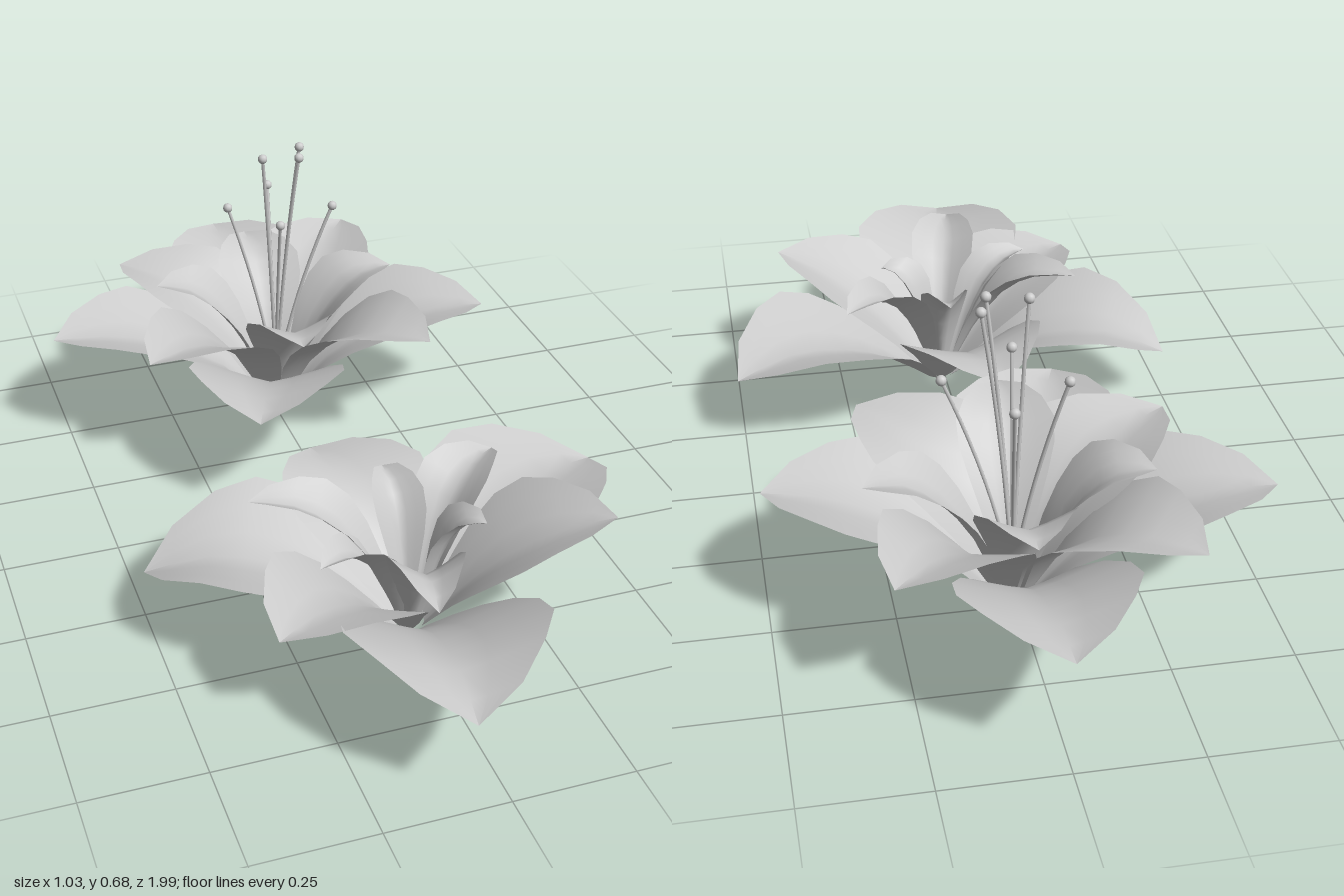
import * as THREE from 'three';

const petalMat = new THREE.MeshStandardMaterial({ color: 0xcccccc, side: THREE.DoubleSide });
const stamenMat = new THREE.MeshStandardMaterial({ color: 0xcccccc });

// Relative half-width along a petal, base to tip
const OUTLINE = [0.14, 0.35, 0.58, 0.8, 0.97, 1, 0.8, 0.47, 0];
const ACROSS = 6;

// Cupped petal: a keel curve (radius, height) swept with a shallow V section
function petal(name, keel, width, lift, [tx, tz, tipY]) {
  const length = Math.hypot(tx, tz), dx = tx / length, dz = tz / length;
  const [endR, endY] = keel[keel.length - 1];
  const curve = new THREE.SplineCurve(keel.map(([r, y]) => {
    const k = r / endR;
    return new THREE.Vector2(r * length / endR, y + (tipY - endY) * k * k);
  }));
  const pos = [], index = [], rows = OUTLINE.length - 1, n = ACROSS + 1;
  OUTLINE.forEach((f, i) => {
    const p = curve.getPoint(i / rows), t = curve.getTangent(i / rows);
    for (let j = 0; j < n; j++) {
      const v = (2 * j) / ACROSS - 1;
      const up = lift * f * Math.pow(Math.abs(v), 1.2);
      const r = p.x - t.y * up, y = p.y + t.x * up, s = v * f * width;
      pos.push(dx * r - dz * s, y, dz * r + dx * s);
    }
  });
  for (let i = 0; i < rows; i++) {
    for (let j = 0; j < ACROSS; j++) {
      const a = i * n + j, b = a + 1, c = a + n, d = c + 1;
      index.push(a, b, c);
      if (i < rows - 1) index.push(b, d, c);
    }
  }
  const geo = new THREE.BufferGeometry();
  geo.setAttribute('position', new THREE.Float32BufferAttribute(pos, 3));
  geo.setIndex(index);
  geo.computeVertexNormals();
  const mesh = new THREE.Mesh(geo, petalMat);
  mesh.name = name;
  return mesh;
}

// Flower: whorls of petals, each petal given by its tip (x, z, height)
function flower(name, x, z, whorls) {
  const group = new THREE.Group();
  group.name = name;
  group.position.set(x, 0, z);
  for (const { name: part, keel, width, lift, tips } of whorls) {
    const whorl = new THREE.Group();
    whorl.name = part + 's';
    tips.forEach((tip) => whorl.add(petal(part, keel, width, lift, tip)));
    group.add(whorl);
  }
  return group;
}

// Thin filament bending outward, with a round anther on top
function stamen(x, y, z) {
  const group = new THREE.Group();
  group.name = 'stamen';
  const path = new THREE.QuadraticBezierCurve3(
    new THREE.Vector3(0, 0.06, 0),
    new THREE.Vector3(x * 0.28, y * 0.55, z * 0.28),
    new THREE.Vector3(x, y, z));
  const filament = new THREE.Mesh(new THREE.TubeGeometry(path, 10, 0.004, 6), stamenMat);
  filament.name = 'filament';
  const anther = new THREE.Mesh(new THREE.SphereGeometry(0.011, 10, 8), stamenMat);
  anther.name = 'anther';
  anther.position.set(x, y, z);
  group.add(filament, anther);
  return group;
}

export function createModel() {
  const model = new THREE.Group();
  model.name = 'flowers';

  // Rear flower: three whorls of four petals
  const rear = flower('rearFlower', 0.01, -0.48, [
    {
      name: 'outerPetal', width: 0.175, lift: 0.05,
      keel: [[0.03, 0.01], [0.13, 0.13], [0.27, 0.21], [0.4, 0.245], [0.52, 0.25]],
      tips: [[-0.01, -0.52, 0.255], [0.49, 0.11, 0.25], [-0.18, 0.48, 0.255], [-0.53, -0.04, 0.25]],
    },
    {
      name: 'middlePetal', width: 0.15, lift: 0.045,
      keel: [[0.03, 0.02], [0.1, 0.15], [0.2, 0.245], [0.31, 0.29], [0.43, 0.3]],
      tips: [[0.28, -0.33, 0.31], [-0.31, -0.3, 0.29], [-0.36, 0.22, 0.295], [0.27, 0.33, 0.3]],
    },
    {
      name: 'innerPetal', width: 0.1, lift: 0.035,
      keel: [[0.025, 0.03], [0.08, 0.17], [0.15, 0.27], [0.22, 0.325], [0.3, 0.335]],
      tips: [[0.01, -0.29, 0.335], [0.3, -0.02, 0.325], [-0.03, 0.32, 0.335], [-0.27, -0.07, 0.335]],
    },
  ]);

  // Tall and short stamens
  const stamens = new THREE.Group();
  stamens.name = 'stamens';
  [
    [-0.035, 0.675, 0.04], [0.045, 0.675, 0.06], [0.065, 0.675, 0],
    [-0.1, 0.53, -0.035], [-0.015, 0.535, 0.105], [0.025, 0.53, -0.13], [0.138, 0.525, 0.02],
  ].forEach((tip) => stamens.add(stamen(...tip)));
  rear.add(stamens);

  // Front flower: whorls of three petals around smaller inner ones
  const front = flower('frontFlower', 0.01, 0.45, [
    {
      name: 'outerPetal', width: 0.2, lift: 0.065,
      keel: [[0.03, 0.005], [0.15, 0.1], [0.27, 0.165], [0.41, 0.205], [0.55, 0.195]],
      tips: [[-0.51, -0.19, 0.12], [0.5, -0.23, 0.165], [-0.08, 0.54, 0.195]],
    },
    {
      name: 'middlePetal', width: 0.165, lift: 0.05,
      keel: [[0.03, 0.01], [0.11, 0.1], [0.2, 0.17], [0.31, 0.21], [0.42, 0.21]],
      tips: [[-0.08, -0.41, 0.2], [0.37, 0.16, 0.29], [-0.35, 0.23, 0.215]],
    },
    {
      name: 'innerPetal', width: 0.075, lift: 0.04,
      keel: [[0.025, 0.02], [0.08, 0.14], [0.15, 0.24], [0.23, 0.285], [0.32, 0.285]],
      tips: [[-0.31, -0.11, 0.3], [0.24, -0.17, 0.28], [-0.07, 0.32, 0.28]],
    },
    {
      name: 'heartPetal', width: 0.055, lift: 0.035,
      keel: [[0.025, 0.02], [0.06, 0.13], [0.1, 0.22], [0.15, 0.27], [0.2, 0.28]],
      tips: [[0.13, 0.07, 0.27], [-0.23, 0.11, 0.27], [0, -0.18, 0.28]],
    },
  ]);

  model.add(rear, front);
  return model;
}
